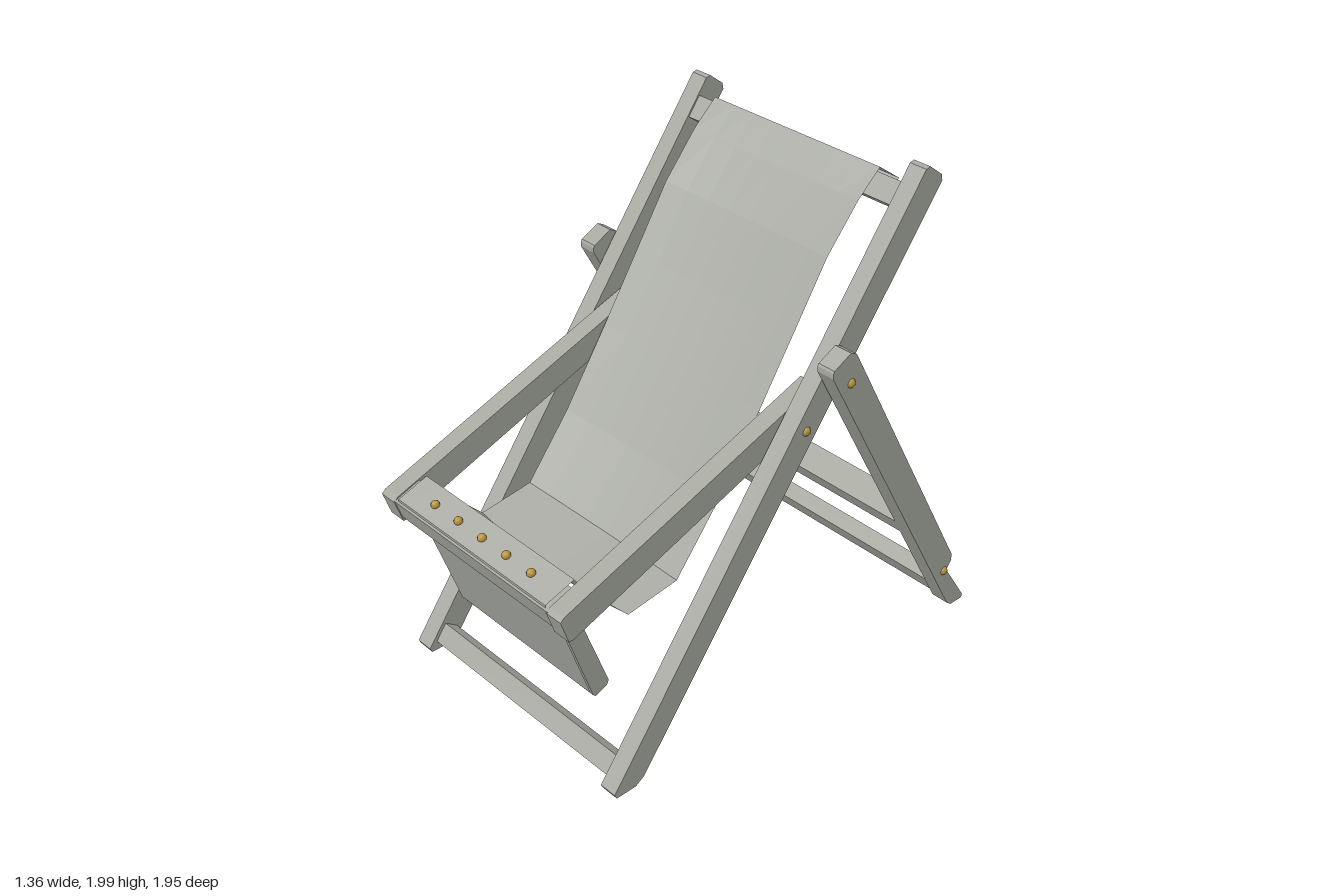
import * as THREE from 'three';

export function createModel() {
  const model = new THREE.Group();
  const wood = new THREE.MeshStandardMaterial({ color: 0xa6a8a0, flatShading: true });
  wood.name = 'grey wood';
  const canvas = new THREE.MeshStandardMaterial({ color: 0xa9aba4, flatShading: true, side: THREE.DoubleSide });
  canvas.name = 'grey canvas';
  const brass = new THREE.MeshStandardMaterial({ color: 0xb8963e });
  brass.name = 'brass';

  function add(name, geometry, material) {
    const mesh = new THREE.Mesh(geometry, material);
    mesh.name = name;
    model.add(mesh);
    return mesh;
  }

  // Mirrored pair of boards: outline in [z, y], extruded from x0 to x1
  function boards(name, outline, x0, x1) {
    const shape = new THREE.Shape(outline.map(([z, y]) => new THREE.Vector2(-z, y)));
    for (const side of [1, -1]) {
      const geo = new THREE.ExtrudeGeometry(shape, { depth: x1 - x0, bevelEnabled: false });
      geo.rotateY(Math.PI / 2);
      geo.translate(side > 0 ? x0 : -x1, 0, 0);
      add((side > 0 ? 'left' : 'right') + name, geo, wood);
    }
  }

  // Crossbar centred on x = 0, tilted about the x axis
  function bar(name, z, y, width, height, depth, tilt) {
    const mesh = add(name, new THREE.BoxGeometry(width, height, depth), wood);
    mesh.position.set(0, y, z);
    mesh.rotation.x = tilt;
  }

  function stud(name, x, y, z, r) {
    add(name, new THREE.SphereGeometry(r, 10, 8), brass).position.set(x, y, z);
  }

  // Canvas sheet swept along rows of [z, y, sagZ, sagY]
  function sheet(name, rows, halfWidth, columns) {
    const geo = new THREE.PlaneGeometry(halfWidth * 2, 1, columns, rows.length - 1);
    const pos = geo.attributes.position;
    for (let i = 0; i < pos.count; i++) {
      const [z, y, sagZ = 0, sagY = 0] = rows[Math.floor(i / (columns + 1))];
      const bow = 1 - (pos.getX(i) / halfWidth) ** 2;
      pos.setY(i, y + sagY * bow);
      pos.setZ(i, z + sagZ * bow);
    }
    const flat = geo.toNonIndexed();
    flat.computeVertexNormals();
    add(name, flat, canvas);
  }

  // Main reclining frame
  boards('MainRail', [
    [0.83, 0.03], [0.82, 0.01], [0.73, 0.01], [0.69, 0.035], [-0.72, 1.925],
    [-0.715, 1.95], [-0.65, 2.0], [-0.63, 1.995],
  ], 0.51, 0.585);
  const railTilt = -0.639;
  bar('headBar', -0.605, 1.87, 1.03, 0.09, 0.095, railTilt);
  bar('frontFootBar', 0.745, 0.062, 1.03, 0.08, 0.065, railTilt);

  // Rear supporting legs, notched near the foot
  boards('RearLeg', [
    [-0.12, 1.42], [-0.125, 1.43], [-0.205, 1.47], [-0.235, 1.455], [-0.875, 0.275],
    [-0.875, 0.245], [-0.84, 0.21], [-0.97, 0.025], [-0.965, 0.01], [-0.9, 0.01], [-0.875, 0.03],
    [-0.12, 1.4],
  ].map(([z, y]) => (z === -0.84 ? [-0.85, y] : [z, y])), 0.59, 0.665);
  const legTilt = 0.5;
  bar('rearMiddleBar', -0.67, 0.523, 1.2, 0.074, 0.115, legTilt);
  bar('rearFootBar', -0.927, 0.062, 1.2, 0.08, 0.07, legTilt);

  // Armrests and the front seat bar
  boards('Armrest', [
    [0.978, 0.843], [0.945, 0.745], [0.925, 0.745], [-0.25, 1.17], [-0.21, 1.272], [0.962, 0.858],
  ], 0.43, 0.505);
  bar('seatFrontBar', 0.905, 0.825, 0.87, 0.09, 0.12, 0.342);

  // Hanging leg rest
  boards('LegRestPost', [
    [0.905, 0.785], [0.84, 0.805], [0.672, 0.345], [0.682, 0.325], [0.733, 0.305], [0.745, 0.315],
  ], 0.31, 0.38);
  bar('legRestTopBar', 0.862, 0.755, 0.63, 0.06, 0.055, 0.335);
  bar('legRestBottomBar', 0.718, 0.345, 0.63, 0.06, 0.055, 0.335);
  sheet('legRestPanel', [[0.902, 0.765], [0.752, 0.325]], 0.375, 1);

  // Sling canvas, wrapped over the head bar and the seat bar
  sheet('slingCanvas', [
    [-0.63, 1.8], [-0.69, 1.885], [-0.585, 1.96],
    [-0.48, 1.865, -0.015, -0.01], [-0.335, 1.695, -0.03, -0.02], [-0.18, 1.45, -0.035, -0.025],
    [-0.02, 1.2, -0.035, -0.025], [0.18, 0.9, -0.035, -0.025], [0.375, 0.655, -0.03, -0.03],
    [0.605, 0.625, 0.01, -0.03], [0.775, 0.8], [0.84, 0.902], [0.968, 0.86], [0.968, 0.835],
  ], 0.415, 8);

  // Upholstery studs
  for (let i = -2; i <= 2; i++) {
    stud('seatStud', i * 0.135, 0.885, 0.91, 0.017);
    stud('headStud', i * 0.135, 1.855, -0.672, 0.017);
  }

  // Pivot bolts
  for (const side of [1, -1]) {
    stud('upperPivot', side * 0.658, 1.345, -0.215, 0.02);
    stud('armPivot', side * 0.578, 1.165, -0.085, 0.02);
    stud('lowerPivot', side * 0.658, 0.212, -0.835, 0.02);
  }

  return model;
}
